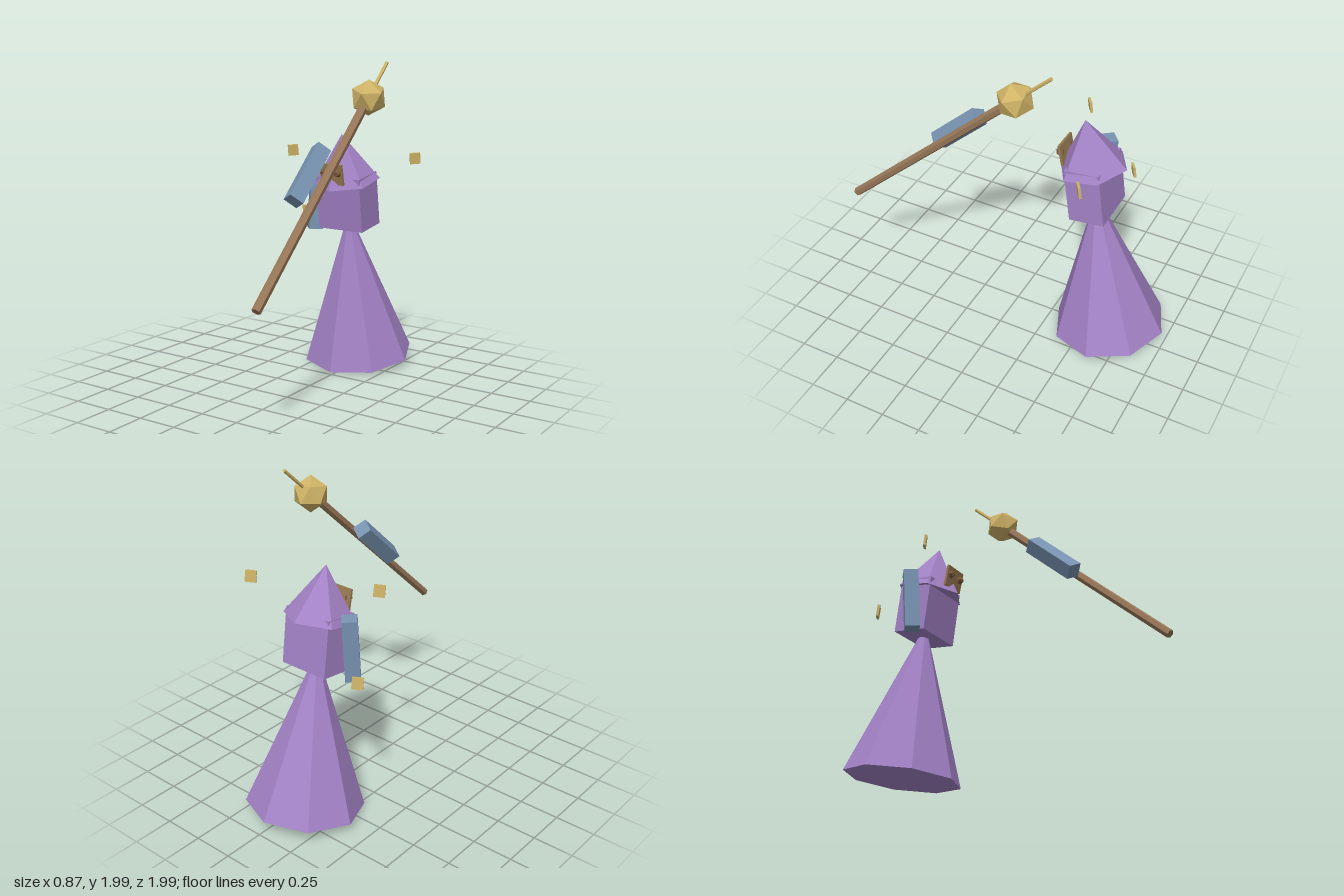
import * as THREE from 'three';

const flat = (name, color) => {
  const m = new THREE.MeshStandardMaterial({ color, flatShading: true });
  m.name = name;
  return m;
};

export function createModel() {
  const model = new THREE.Group();
  const purple = flat('purple cloth', 0xa382c6);
  const blue = flat('blue sleeve', 0x7893b2);
  const brown = flat('staff wood', 0x997859);
  const gold = flat('gold', 0xcfb366);
  const tan = flat('mask tan', 0x987c50);
  const dark = flat('eye brown', 0x7c5a3c);

  // Places a part; it is spun about its own y first, then tilted about x
  const add = (name, geometry, material, pos, tilt = 0, spin = 0, parent = model) => {
    const mesh = new THREE.Mesh(geometry, material);
    mesh.name = name;
    mesh.position.set(...pos);
    mesh.rotation.set(tilt, spin, 0);
    parent.add(mesh);
    return mesh;
  };

  const cx = -0.033;

  // Robe, torso and pointed hat, each leaning forward
  const robeH = 0.985, lean = 0.14;
  add('robe', new THREE.ConeGeometry(0.357, robeH, 8), purple,
    [cx, 0.055 + Math.cos(lean) * robeH / 2, -0.637 + Math.sin(lean) * robeH / 2], lean);
  add('torso', new THREE.BoxGeometry(0.32, 0.345, 0.22), purple, [cx, 1.108, -0.488], 0.135);
  const hatH = 0.31, hatLean = 0.203;
  add('hat', new THREE.ConeGeometry(0.212, hatH, 6), purple,
    [cx, 1.2325 + Math.cos(hatLean) * hatH / 2, -0.4725 + Math.sin(hatLean) * hatH / 2], hatLean);

  // Mask with two eyes
  const mask = new THREE.Group();
  mask.name = 'mask';
  mask.position.set(cx, 1.295, -0.297);
  mask.rotation.x = 0.2;
  model.add(mask);
  add('maskPlate', new THREE.BoxGeometry(0.16, 0.134, 0.015), tan, [0, 0, 0], 0, 0, mask);
  for (const s of [-1, 1]) {
    add(s < 0 ? 'rightEye' : 'leftEye', new THREE.IcosahedronGeometry(0.026, 0), dark,
      [s * 0.05, 0.012, 0.012], 0, 0, mask);
  }

  // Sleeves: one hangs, one is raised along the staff
  const sleeve = new THREE.BoxGeometry(0.09, 0.39, 0.09);
  add('rightArm', sleeve, blue, [-0.253, 1.1, -0.457], -0.07, 0.71);
  add('leftArm', sleeve, blue, [0.183, 1.383, 0.297], -0.822, 0.93);

  // Staff with orb and spike, built upright from its foot and then tilted
  const staff = new THREE.Group();
  staff.name = 'staff';
  staff.position.set(0.316, 0.757, 0.978);
  staff.rotation.set(-0.825, 0.15, 0);
  model.add(staff);
  add('staffShaft', new THREE.CylinderGeometry(0.0275, 0.0275, 1.5, 6), brown, [0, 0.75, 0], 0, 0, staff);
  add('staffOrb', new THREE.IcosahedronGeometry(0.11, 0), gold, [0, 1.53, 0], 0, 0, staff);
  add('staffSpike', new THREE.CylinderGeometry(0.011, 0.011, 0.29, 6), gold, [0, 1.675, 0], 0, 0, staff);

  // Floating gold tablets
  const tablet = new THREE.BoxGeometry(0.066, 0.07, 0.015);
  [[-0.333, 1.427, -0.308], [0.401, 1.397, -0.576], [-0.407, 0.991, -0.585]]
    .forEach((p, i) => add('tablet' + (i + 1), tablet, gold, p, 0.14, 0.6));

  return model;
}
